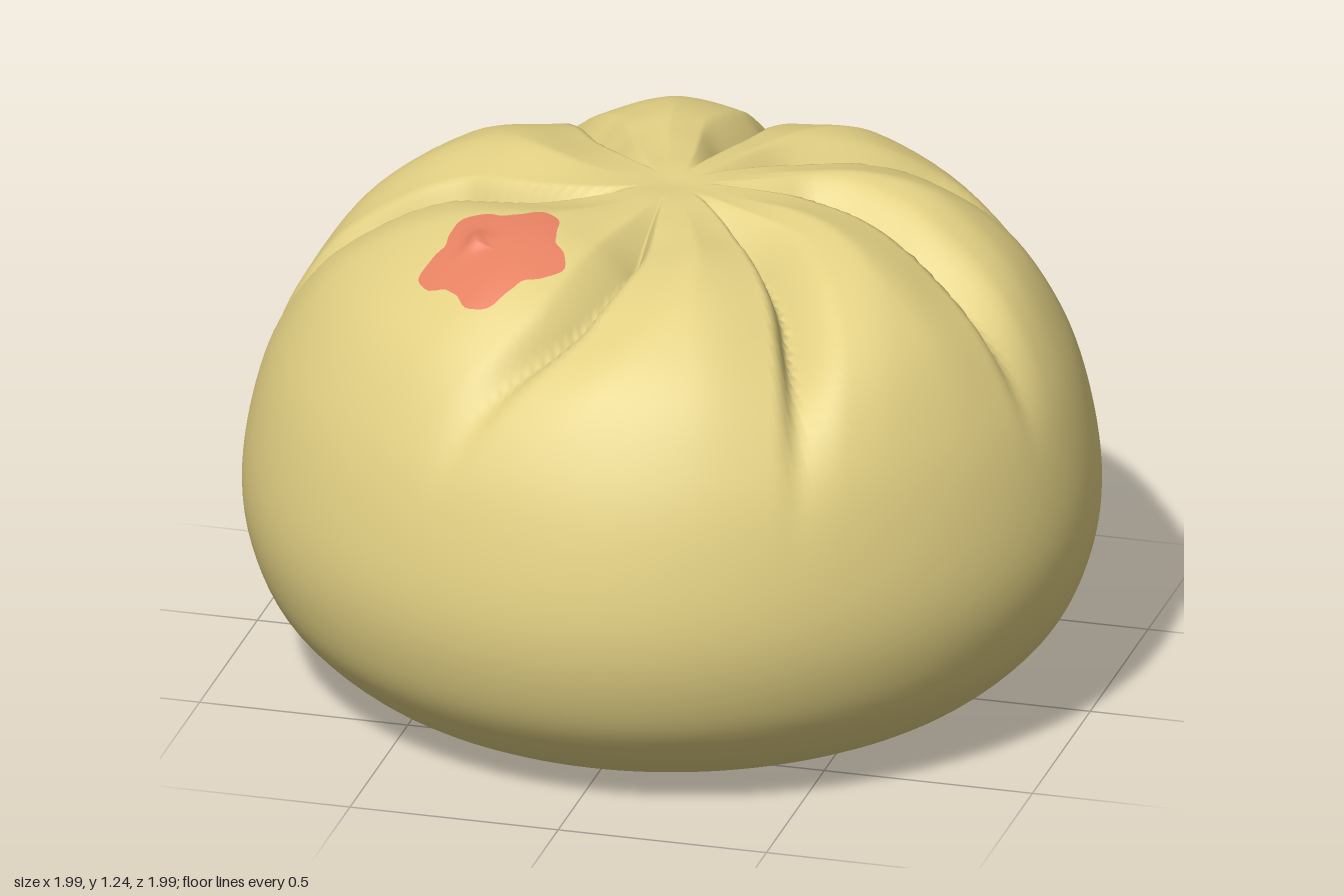
import * as THREE from 'three';
import { mergeVertices } from 'three/addons/utils/BufferGeometryUtils.js';

const SEGMENTS = 320, RINGS = 90;
const { smoothstep, lerp, clamp } = THREE.MathUtils;

// Side profile from the hollow underside, round the belly, to the crown
const profile = new THREE.SplineCurve([
  [0, 0.06], [0.22, 0.045], [0.45, 0.01], [0.6, 0.008], [0.76, 0.065], [0.9, 0.19], [0.97, 0.33],
  [0.995, 0.49], [0.97, 0.68], [0.91, 0.86], [0.8, 1.035], [0.64, 1.16], [0.47, 1.222],
  [0.3, 1.24], [0.14, 1.225], [0, 1.215],
].map(([r, y]) => new THREE.Vector2(r, y)));

// Pleats seen from above: path of [x, z] points, depth, and width on each side
const pleats = [
  { path: [[-0.1, -0.09], [-0.3, -0.37], [-0.6, -0.74]], depth: 0.09, sides: [0.14, 0.07] },
  { path: [[0.02, -0.12], [0.05, -0.35], [0.09, -0.6], [0.08, -0.95]], depth: 0.13, sides: [0.07, 0.14] },
  { path: [[0.1, -0.12], [0.3, -0.31], [0.56, -0.47], [0.84, -0.48]], depth: 0.12, sides: [0.08, 0.17] },
  { path: [[0.12, -0.02], [0.3, -0.06], [0.6, 0.03], [0.92, 0.22]], depth: 0.12, sides: [0.08, 0.17] },
  { path: [[0.1, 0.08], [0.29, 0.27], [0.42, 0.47], [0.52, 0.8]], depth: 0.13, sides: [0.08, 0.16] },
  { path: [[0.0, 0.12], [0.0, 0.4], [-0.07, 0.66], [-0.32, 0.88]], depth: 0.11, sides: [0.15, 0.08] },
  { path: [[-0.12, 0.07], [-0.5, 0.06], [-0.96, 0.07]], depth: 0.12, sides: [0.08, 0.16] },
].map(p => ({ ...p, path: p.path.map(([x, z]) => ({ r: Math.hypot(x, z), a: Math.atan2(x, z) })) }));

// Angle of a pleat at a given radius
function pleatAngle(path, r) {
  for (let i = 1; i < path.length; i++) {
    const p = path[i - 1], q = path[i];
    if (r <= q.r || i === path.length - 1) {
      return lerp(p.a, q.a, clamp((r - p.r) / (q.r - p.r), 0, 1));
    }
  }
}

function pleatDepth(r, y, angle) {
  if (y < 0.5) return 0;
  let fold = 0, valley = 0;
  for (const { path, depth, sides } of pleats) {
    const end = path[path.length - 1].r;
    const delta = angle - pleatAngle(path, r);
    const across = Math.atan2(Math.sin(delta), Math.cos(delta)) * r;
    const width = sides[across < 0 ? 0 : 1] * smoothstep(r, 0, 0.45);
    const d = Math.max(0, 1 - Math.abs(across) / (width + 0.001));
    const along = smoothstep(r, 0.08, 0.36) * (1 - smoothstep(r, end * 0.7, end + 0.03));
    fold = Math.max(fold, depth * along * d * d * (1.4 - 0.4 * d));
    // Broad dip that rounds the dough between the folds
    valley = Math.max(valley, 0.03 * along * (1 - smoothstep(Math.abs(across), 0, 0.26)));
  }
  return Math.max(fold, valley) + valley * 0.3;
}

// Point of the dough at profile position s and angle round the axis
function surfacePoint(s, angle, lift = 0) {
  const p = profile.getPointAt(s), t = profile.getTangentAt(s);
  let push = lift - pleatDepth(p.x, p.y, angle);
  // Small pit at the back
  const px = (Math.abs(angle) - Math.PI) * p.x, py = p.y - 0.475;
  if (p.x > 0.8) push -= 0.07 * Math.exp(-(px * px + py * py * 2) / 0.003);
  // Slight unevenness of the hand-shaped belly
  push += 0.006 * p.x * Math.sin(5 * angle + 1) * Math.sin(p.y * 3);
  const r = Math.max(0, p.x + t.y * push);
  return new THREE.Vector3(r * Math.sin(angle), p.y - t.x * push, r * Math.cos(angle));
}

// Profile position on the upper half at a given radius
function upperPosition(r) {
  let low = 0.55, high = 1;
  for (let i = 0; i < 24; i++) {
    const mid = (low + high) / 2;
    if (profile.getPointAt(mid).x > r) low = mid; else high = mid;
  }
  return low;
}

// Weld the seam and give smooth normals
function smoothed(geometry) {
  geometry.deleteAttribute('uv');
  geometry.deleteAttribute('normal');
  const welded = mergeVertices(geometry, 1e-5);
  welded.computeVertexNormals();
  return welded;
}

function makeDough() {
  const geometry = new THREE.LatheGeometry(profile.getSpacedPoints(RINGS), SEGMENTS);
  const pos = geometry.attributes.position;
  for (let i = 0; i <= SEGMENTS; i++) {
    const angle = (i % SEGMENTS) / SEGMENTS * Math.PI * 2;
    const wrapped = angle > Math.PI ? angle - Math.PI * 2 : angle;
    for (let j = 0; j <= RINGS; j++) {
      const p = surfacePoint(j / RINGS, wrapped);
      pos.setXYZ(i * (RINGS + 1) + j, p.x, p.y, p.z);
    }
  }
  return smoothed(geometry);
}

// Five-lobed patch of colour laid on the dough
function makePatch(cx, cz) {
  const geometry = new THREE.RingGeometry(0.001, 1, 80, 14);
  const pos = geometry.attributes.position;
  for (let i = 0; i < pos.count; i++) {
    const u = pos.getX(i), v = pos.getY(i), a = Math.atan2(v, u);
    const size = 0.157 + 0.02 * Math.cos(5 * a + 1.31) + 0.002 * Math.sin(17 * a);
    const x = cx + u * size, z = cz - v * size;
    // A small pinch left of the middle, sinking to the dough around it
    const pinch = 0.02 * Math.exp(-((u + 0.35) ** 2 + (v - 0.15) ** 2) / 0.04);
    const p = surfacePoint(upperPosition(Math.hypot(x, z)), Math.atan2(x, z), 0.005 + pinch);
    pos.setXYZ(i, p.x, p.y, p.z);
  }
  return smoothed(geometry);
}

export function createModel() {
  const doughColor = new THREE.MeshStandardMaterial({ color: 0xe3d184 });
  doughColor.name = 'dough';
  const redColor = new THREE.MeshStandardMaterial({ color: 0xe68162 });
  redColor.name = 'red dye';

  const group = new THREE.Group();
  group.name = 'steamedBun';
  const dough = new THREE.Mesh(makeDough(), doughColor);
  dough.name = 'pleatedDough';
  const patch = new THREE.Mesh(makePatch(-0.3, 0.455), redColor);
  patch.name = 'redMark';
  group.add(dough, patch);
  return group;
}
